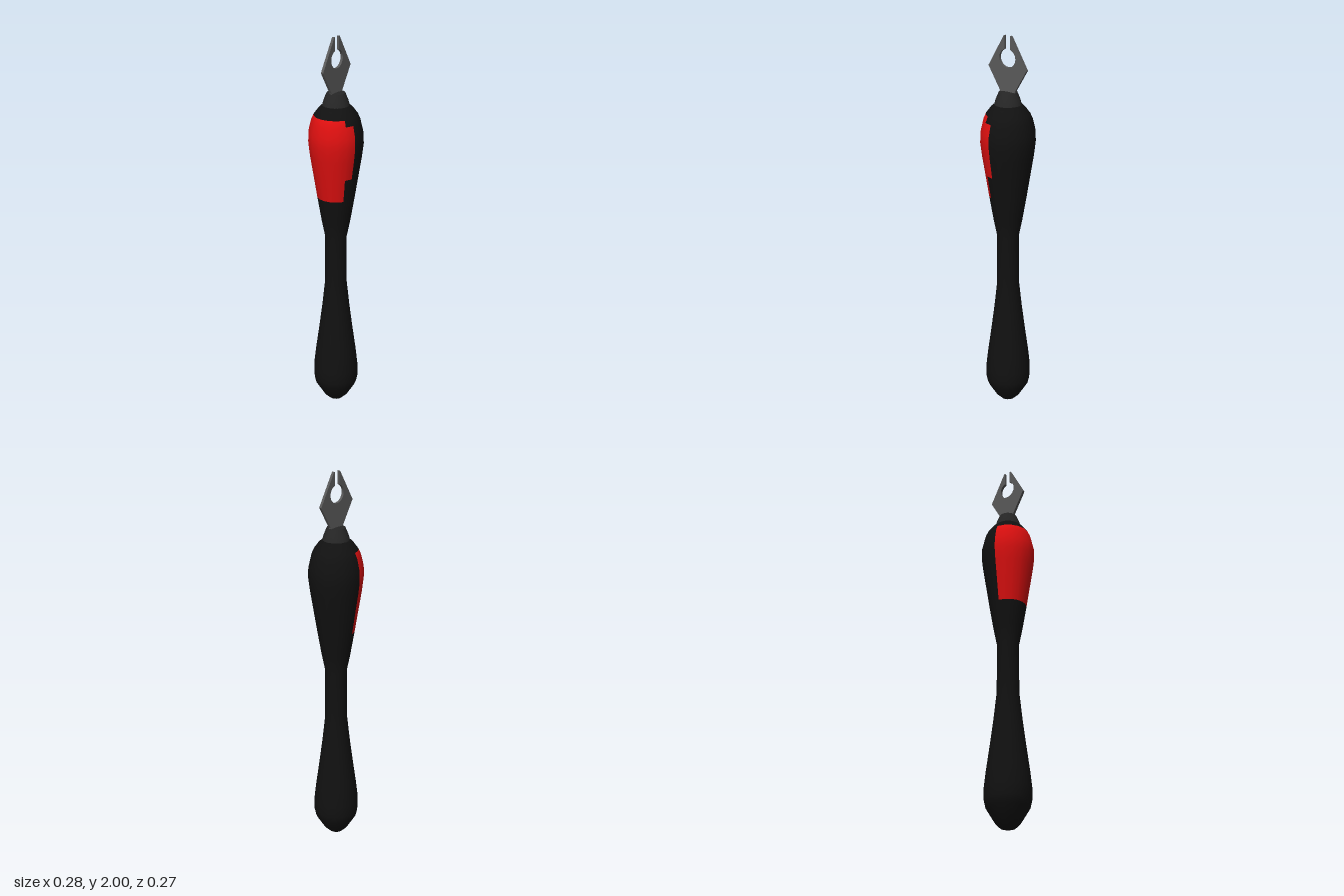
import * as THREE from 'three';

const SIDES = 18;
const mat = (color) => new THREE.MeshStandardMaterial({ color });
const points = (list) => list.map(([r, y]) => new THREE.Vector2(r, y));

function addMesh(group, name, geometry, color) {
  const mesh = new THREE.Mesh(geometry, mat(color));
  mesh.name = name;
  group.add(mesh);
}

// Handle surface, split into the black body and the red inlaid grip panel
function addHandle(group) {
  const profile = points([
    [0, 0], [0.038, 0.003], [0.065, 0.03], [0.108, 0.1], [0.117, 0.14], [0.118, 0.2],
    [0.108, 0.29], [0.09, 0.42], [0.072, 0.56], [0.057, 0.7], [0.056, 0.96],
    [0.074, 1.05], [0.096, 1.18], [0.115, 1.3], [0.131, 1.4], [0.139, 1.465],
    [0.138, 1.52], [0.124, 1.58], [0.111, 1.61], [0.085, 1.645], [0.066, 1.662], [0, 1.665],
  ]);
  const lathe = new THREE.LatheGeometry(profile, SIDES, Math.PI / SIDES);
  const source = lathe.index.array;
  const rows = profile.length - 1;
  const body = [], panel = [];
  for (let side = 0; side < SIDES; side++) {
    for (let row = 0; row < rows; row++) {
      const y = (profile[row].y + profile[row + 1].y) / 2;
      // the panel's front edge steps back near its top and bottom
      const end = y > 1.3 && y < 1.58 ? 17 : 16;
      const red = y > 1.18 && y < 1.61 && side >= 9 && side < end;
      const start = (side * rows + row) * 6;
      (red ? panel : body).push(...source.slice(start, start + 6));
    }
  }
  const part = (index) => {
    const geometry = lathe.clone();
    geometry.setIndex(index);
    return geometry;
  };
  addMesh(group, 'handle', part(body), 0x111111);
  addMesh(group, 'gripPanel', part(panel), 0xe01010);
}

// Flat forked blade with a round eye opening into a narrow slot
function bladeGeometry() {
  const depth = 0.014, eyeY = 1.89, eyeR = 0.046, slot = 0.016;
  const a = Math.acos(slot / eyeR);
  const shape = new THREE.Shape();
  shape.moveTo(-0.042, 1.7);
  shape.lineTo(0.042, 1.7);
  shape.lineTo(0.042, 1.725);
  shape.lineTo(0.11, 1.842);
  shape.lineTo(0.021, 2);
  shape.lineTo(slot, 2);
  shape.lineTo(slot, eyeY + eyeR * Math.sin(a));
  shape.absarc(0, eyeY, eyeR, a, Math.PI - a, true);
  shape.lineTo(-slot, 2);
  shape.lineTo(-0.021, 2);
  shape.lineTo(-0.11, 1.842);
  shape.lineTo(-0.042, 1.725);
  const geometry = new THREE.ExtrudeGeometry(shape, { depth, bevelEnabled: false, curveSegments: 24 });
  return geometry.translate(0, 0, -depth / 2);
}

export function createModel() {
  const group = new THREE.Group();
  group.name = 'forkedHandTool';
  addHandle(group);

  // Collar: sloping side, with a separate flat cap for a crisp rim
  const side = points([[0.068, 1.66], [0.061, 1.685], [0.046, 1.722]]);
  addMesh(group, 'collar', new THREE.LatheGeometry(side, 24), 0x262626);
  const cap = points([[0.046, 1.722], [0, 1.725]]);
  addMesh(group, 'collarCap', new THREE.LatheGeometry(cap, 24), 0x262626);

  addMesh(group, 'blade', bladeGeometry(), 0x5a5a5a);
  return group;
}
